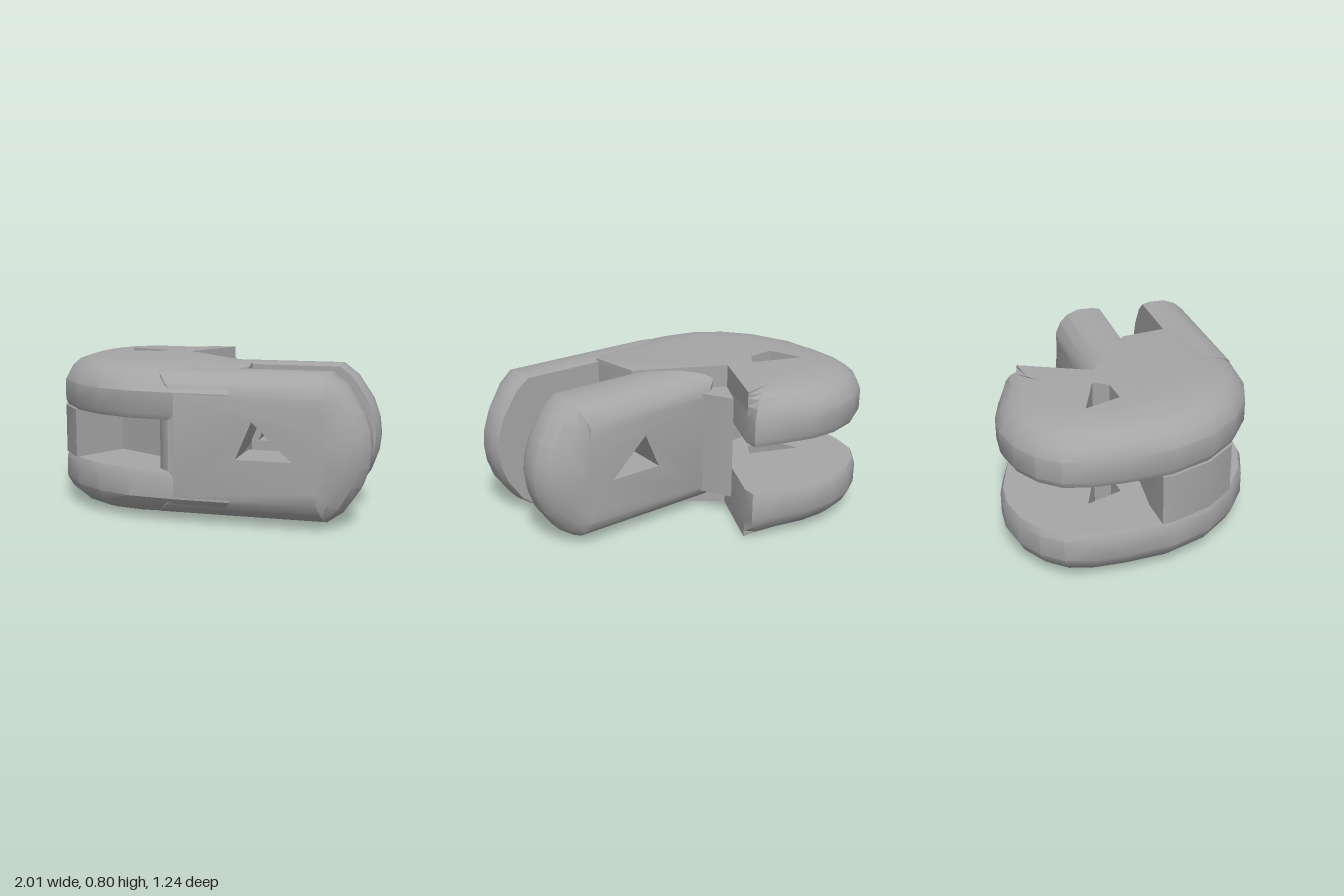
import * as THREE from 'three';
import { toCreasedNormals } from 'three/addons/utils/BufferGeometryUtils.js';

const steel = new THREE.MeshStandardMaterial({ color: 0xa6a6a6 });
steel.name = 'plain grey';

// Moves each outline point inward along its mitre by amount * its bevel weight.
function insetOutline(pts, amount) {
  const n = pts.length;
  return pts.map(([u, v, k = 0], i) => {
    const a = pts[(i + n - 1) % n], b = pts[(i + 1) % n];
    const n1 = new THREE.Vector2(-(v - a[1]), u - a[0]).normalize();
    const n2 = new THREE.Vector2(-(b[1] - v), b[0] - u).normalize();
    const m = n1.clone().add(n2).normalize();
    const d = amount * k / Math.max(0.6, m.dot(n1));
    return new THREE.Vector2(u + m.x * d, v + m.y * d);
  });
}

// Stacks inset copies of a counter-clockwise outline along w; an optional hole runs straight through.
function loft(outline, levels, hole = []) {
  const pos = [];
  const rings = levels.map(([w, inset]) => ({ w, p: insetOutline(outline, inset) }));
  const put = (p, w) => pos.push(p.x, p.y, w);
  const wall = (p, wp, q, wq) => p.forEach((_, i) => {
    const j = (i + 1) % p.length;
    put(p[i], wp); put(p[j], wp); put(q[j], wq);
    put(p[i], wp); put(q[j], wq); put(q[i], wq);
  });
  for (let i = 0; i + 1 < rings.length; i++) {
    wall(rings[i].p, rings[i].w, rings[i + 1].p, rings[i + 1].w);
  }
  const first = rings[0], last = rings[rings.length - 1];
  let h = hole.map(([u, v]) => new THREE.Vector2(u, v));
  if (h.length) {
    if (!THREE.ShapeUtils.isClockWise(h)) h.reverse();
    wall(h, first.w, h, last.w);
  }
  for (const [ring, flip] of [[first, true], [last, false]]) {
    const all = [...ring.p, ...h];
    for (const f of THREE.ShapeUtils.triangulateShape(ring.p.slice(), h.length ? [h.slice()] : [])) {
      const [a, b, c] = f.map((i) => all[i]);
      const ccw = (b.x - a.x) * (c.y - a.y) - (b.y - a.y) * (c.x - a.x) > 0;
      const order = ccw !== flip ? [a, b, c] : [a, c, b];
      order.forEach((p) => put(p, ring.w));
    }
  }
  const g = new THREE.BufferGeometry();
  g.setAttribute('position', new THREE.Float32BufferAttribute(pos, 3));
  return g;
}

// Top-view points [x, z, bevel] become counter-clockwise [x, -z, bevel].
const plan = (pts) => {
  const p = pts.map(([x, z, k = 0]) => [x, -z, k]);
  return THREE.ShapeUtils.area(p.map(([x, y]) => ({ x, y }))) < 0 ? p.reverse() : p;
};
const mirrorLevels = (levels, sum) => levels.map(([w, i]) => [sum - w, i]).reverse();

export function createModel() {
  const group = new THREE.Group();
  const add = (name, geometry) => {
    const mesh = new THREE.Mesh(toCreasedNormals(geometry, 0.55), steel);
    mesh.name = name;
    group.add(mesh);
  };

  // Hooked cheek plates, above and below the horizontal slot
  const cheek = plan([
    [-0.33, -0.62, 0.6], [-0.5, -0.59, 0.9], [-0.65, -0.555, 1], [-0.78, -0.49, 1],
    [-0.9, -0.38, 1], [-0.975, -0.25, 1], [-1, -0.12, 1], [-0.965, 0.02, 1],
    [-0.89, 0.17, 1], [-0.77, 0.36, 1], [-0.6, 0.51, 1], [-0.4, 0.595, 1],
    [-0.2, 0.62, 1], [0, 0.59, 1], [0.22, 0.495, 1], [0.479, 0.355, 1],
    [0.39, 0.11], [0.22, -0.11], [-0.28, -0.15], [-0.305, -0.55],
  ]);
  const pinHole = plan([[-0.7, -0.08], [-0.42, -0.12], [-0.43, -0.03], [-0.55, 0.05]]);
  const cheekLevels = [[0.53, 0.015], [0.56, 0], [0.67, 0], [0.725, 0.03], [0.765, 0.075], [0.785, 0.13], [0.8, 0.24]];
  for (const [name, levels] of [['upperCheek', cheekLevels], ['lowerCheek', mirrorLevels(cheekLevels, 0.8)]]) {
    const g = loft(cheek, levels, pinHole).rotateX(-Math.PI / 2);
    // Flatten the broad faces slightly towards the fork
    const p = g.attributes.position;
    for (let i = 0; i < p.count; i++) {
      const t = THREE.MathUtils.smoothstep(p.getX(i), -0.3, 0.2) * 0.05;
      const y = p.getY(i);
      if (Math.abs(y - 0.4) > 0.3) p.setY(i, y - (y - 0.4) * t);
    }
    add(name, g);
  }

  // Core between the cheeks, with the front pocket and the curved slot wall
  const core = plan([
    [-0.8, 0.315], [-0.77, 0.36], [-0.6, 0.51], [-0.42, 0.587],
    [-0.42, 0.26], [-0.03, 0.26], [0.13, 0.4], [0.2, 0.503],
    [0.479, 0.355], [0.39, 0.11], [0.22, -0.11], [-0.28, -0.15],
    [-0.3, 0.02], [-0.45, 0.13], [-0.65, 0.22],
  ]);
  add('core', loft(core, [[0.27, 0], [0.53, 0]]).rotateX(-Math.PI / 2));

  // Slanted web joining the core to the back prong
  const web = plan([[-0.28, -0.33], [-0.14, -0.24], [0, -0.12], [-0.28, -0.13]]);
  add('web', loft(web, [[0.12, 0], [0.68, 0]]).rotateX(-Math.PI / 2));

  // Two fork prongs: flat inside, rounded outside, with a triangular hole
  const prong = [
    [-0.15, 0.028, 1], [0.72, 0.028, 1], [0.8, 0.085, 1.4], [0.885, 0.21, 1.8],
    [0.92, 0.31, 1.8], [0.93, 0.4, 1.8], [0.92, 0.49, 1.8], [0.885, 0.59, 1.8],
    [0.8, 0.715, 1.4], [0.72, 0.775, 1], [-0.15, 0.775, 1],
  ];
  const prongHole = [[0.28, 0.35], [0.56, 0.35], [0.36, 0.54]];
  const frontLevels = [[0.266, 0.01], [0.31, 0], [0.4, 0], [0.465, 0.022], [0.51, 0.06], [0.542, 0.115]];
  const backLevels = mirrorLevels(frontLevels, 0.266);
  add('frontProng', loft(prong, frontLevels, prongHole).rotateY(0.5));
  add('backProng', loft(prong, backLevels, prongHole).rotateY(0.5));

  return group;
}
